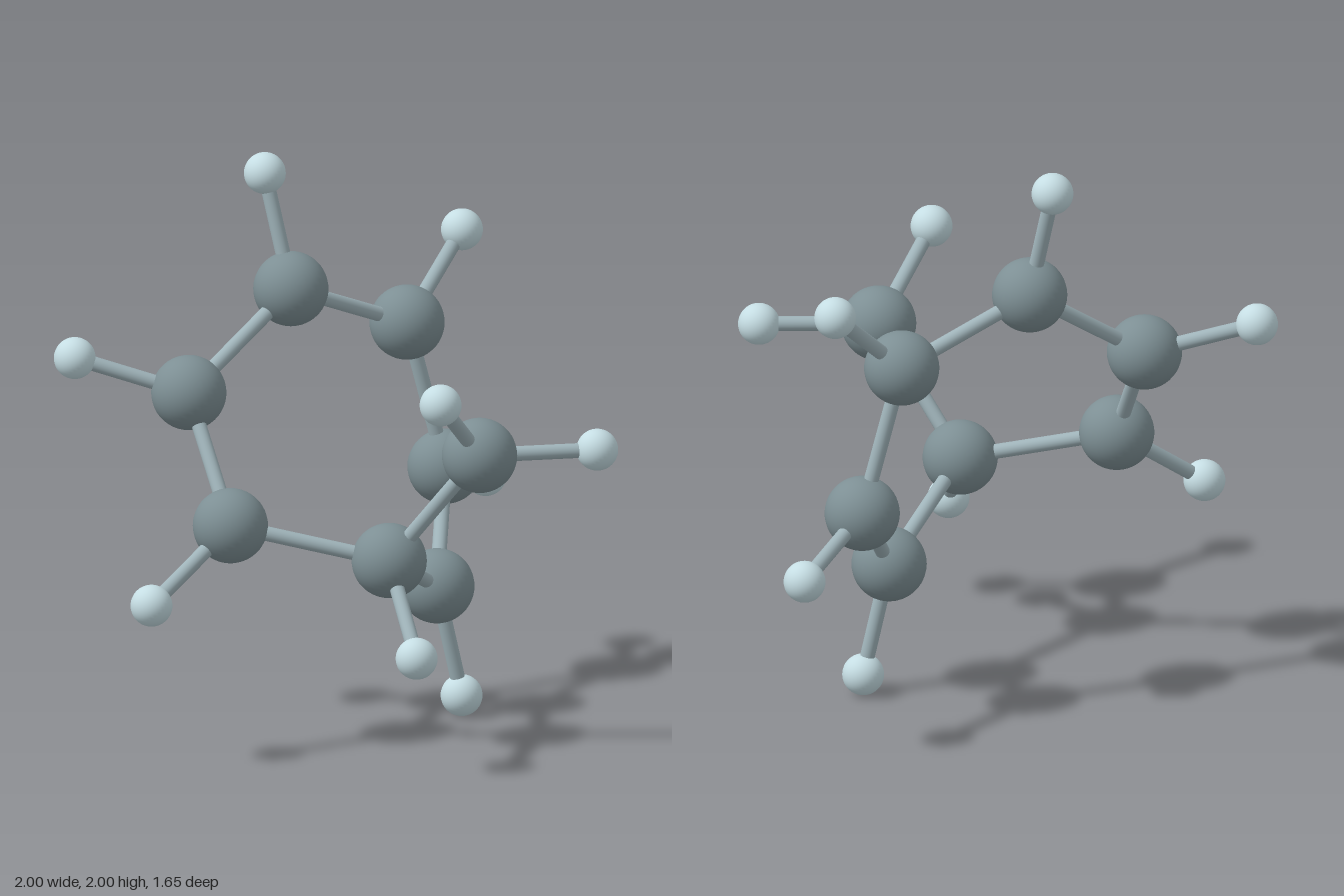
import * as THREE from 'three';

// Large ball centres around the bent ring, then the branch ball (last)
const HUBS = [
  [-0.04, 1.53, -0.455], [0.445, 1.335, -0.38], [0.57, 0.805, -0.32], [0.28, 0.48, -0.055],
  [-0.185, 0.705, 0.195], [-0.585, 0.83, -0.185], [-0.5, 1.235, -0.485], [-0.065, 1.125, 0.525],
];

// Small balls: index of the hub they hang from, then centre
const TIPS = [
  [0, -0.065, 1.93, -0.56], [1, 0.76, 1.6, -0.435], [2, 0.925, 0.675, -0.49],
  [3, 0.365, 0.078, -0.02], [4, -0.335, 0.437, 0.492], [5, -0.925, 0.597, -0.225],
  [6, -0.79, 1.36, -0.755], [7, -0.37, 1.385, 0.65], [7, 0.285, 1.125, 0.75],
];

const HUB_RADIUS = 0.131, TIP_RADIUS = 0.073, ROD_RADIUS = 0.026;

export function createModel() {
  const model = new THREE.Group();
  model.name = 'ballAndStickModel';

  const material = (color) => new THREE.MeshStandardMaterial({ color });
  const hubMaterial = material(0x7d8f94);
  const tipMaterial = material(0xc5dde3);
  const rodMaterial = material(0x9fb3b9);

  const hubGeometry = new THREE.SphereGeometry(HUB_RADIUS, 32, 24);
  const tipGeometry = new THREE.SphereGeometry(TIP_RADIUS, 32, 24);
  const rodGeometry = new THREE.CylinderGeometry(ROD_RADIUS, ROD_RADIUS, 1, 20);

  const addBall = (name, geometry, mat, position) => {
    const ball = new THREE.Mesh(geometry, mat);
    ball.name = name;
    ball.position.copy(position);
    model.add(ball);
  };

  // Unit rod stretched and turned to run from a to b
  const addRod = (name, a, b) => {
    const rod = new THREE.Mesh(rodGeometry, rodMaterial);
    const span = b.clone().sub(a);
    rod.name = name;
    rod.position.copy(a).addScaledVector(span, 0.5);
    rod.scale.y = span.length();
    rod.quaternion.setFromUnitVectors(new THREE.Vector3(0, 1, 0), span.normalize());
    model.add(rod);
  };

  // Large balls
  const hubs = HUBS.map((p) => new THREE.Vector3(...p));
  hubs.forEach((p, i) => addBall(i < 7 ? `ringBall${i + 1}` : 'branchBall', hubGeometry, hubMaterial, p));

  // Seven rods close the ring, one reaches the branch
  for (let i = 0; i < 7; i++) addRod(`ringRod${i + 1}`, hubs[i], hubs[(i + 1) % 7]);
  addRod('branchRod', hubs[4], hubs[7]);

  // Small balls with their rods
  TIPS.forEach(([hub, ...p], i) => {
    const tip = new THREE.Vector3(...p);
    addBall(`smallBall${i + 1}`, tipGeometry, tipMaterial, tip);
    addRod(`smallRod${i + 1}`, hubs[hub], tip);
  });

  return model;
}
